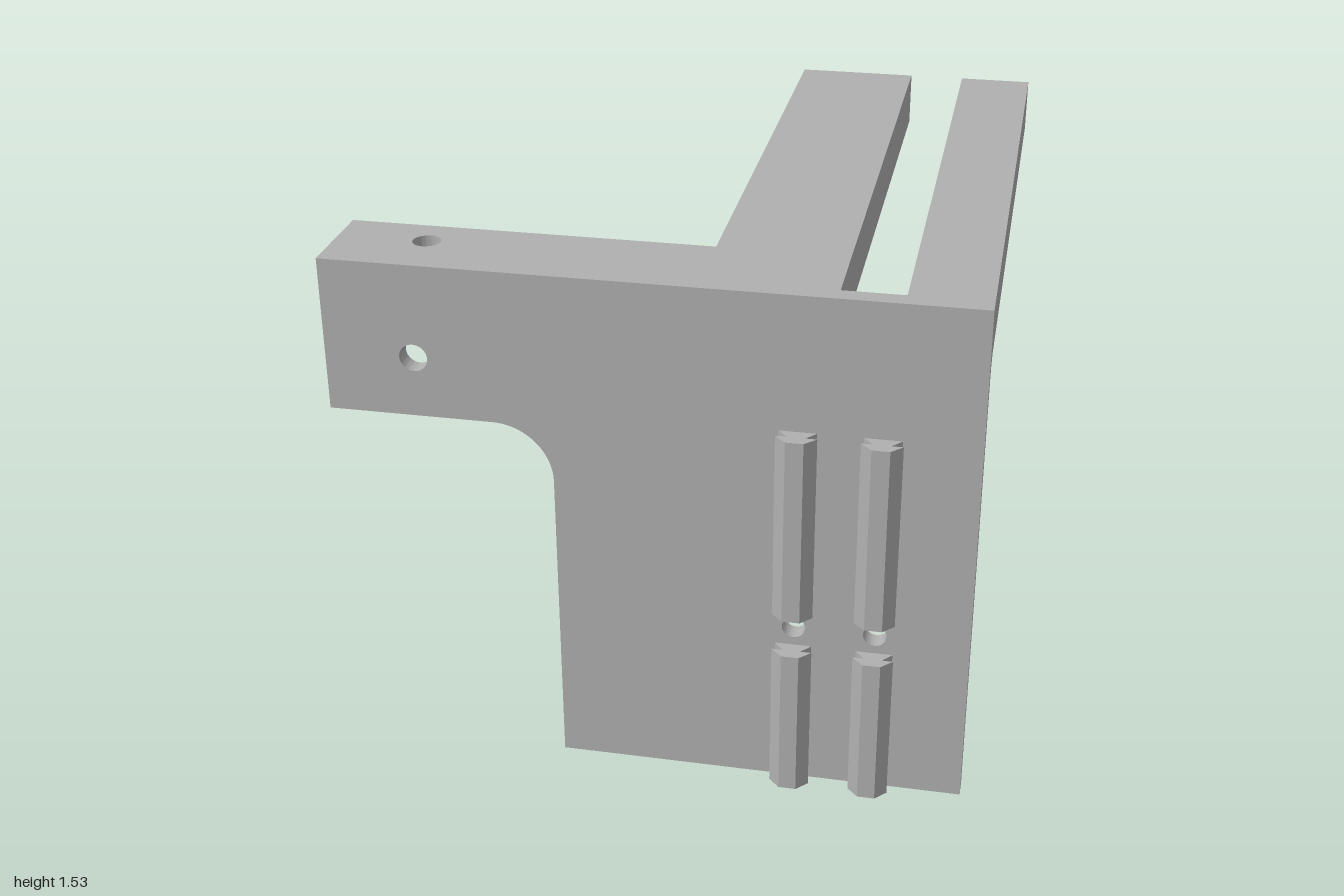
import * as THREE from 'three';
import { toCreasedNormals } from 'three/addons/utils/BufferGeometryUtils.js';

export function createModel() {
  const model = new THREE.Group();
  const grey = new THREE.MeshStandardMaterial({ color: 0xb0b0b0 });
  grey.name = 'grey';

  const add = (name, geometry) => {
    const mesh = new THREE.Mesh(geometry, grey);
    mesh.name = name;
    model.add(mesh);
  };
  const box = (name, x0, x1, y0, y1, z0, z1) => {
    const g = new THREE.BoxGeometry(x1 - x0, y1 - y0, z1 - z0);
    add(name, g.translate((x0 + x1) / 2, (y0 + y1) / 2, (z0 + z1) / 2));
  };
  const polygon = (pts) => new THREE.Shape(pts.map(([a, b]) => new THREE.Vector2(a, b)));
  const hole = (shape, x, y, r) => shape.holes.push(new THREE.Path().absarc(x, y, r, 0, Math.PI * 2, true));
  const extrude = (shape, depth) => toCreasedNormals(
    new THREE.ExtrudeGeometry(shape, { depth, bevelEnabled: false, curveSegments: 20 }), 0.6);
  // Shape drawn in x and z, standing between two heights
  const upright = (shape, y0, y1) => extrude(shape, y1 - y0).rotateX(Math.PI / 2).translate(0, y1, 0);
  // Shape drawn in z and y, running between two x positions
  const sideways = (shape, x0, x1) => extrude(shape, x1 - x0).rotateY(-Math.PI / 2).translate(x1, 0, 0);

  const TOP = 1.535, UNDER = 1.37, BACK = 0.88, FRONT = 0.935;

  // Front plate with rounded inside corner and screw holes
  const plate = new THREE.Shape();
  plate.moveTo(-0.27, 0);
  plate.lineTo(0.908, 0);
  plate.lineTo(0.908, TOP);
  plate.lineTo(-0.91, TOP);
  plate.lineTo(-0.91, 1.083);
  plate.lineTo(-0.44, 1.083);
  plate.absarc(-0.44, 0.913, 0.17, Math.PI / 2, 0, true);
  plate.lineTo(-0.27, 0);
  hole(plate, -0.655, 1.26, 0.04);
  hole(plate, 0.412, 0.515, 0.033);
  hole(plate, 0.642, 0.515, 0.033);
  add('frontPlate', extrude(plate, FRONT - BACK).translate(0, 0, BACK));

  // Top flange of the side arm, with a thicker root beside the bar
  const flange = polygon([[-0.91, 0.65], [0.135, 0.65], [0.135, BACK], [-0.91, BACK]]);
  hole(flange, -0.655, 0.76, 0.04);
  add('armFlange', upright(flange, TOP - 0.087, TOP));
  box('flangeRoot', -0.09, 0.135, UNDER, TOP - 0.087, 0.65, BACK);

  // Two long bars with a slot between; the wide one has a hanging lip
  box('wideBar', 0.135, 0.508, UNDER, TOP, -1, BACK);
  box('barLip', 0.135, 0.25, 1.2, UNDER, -1, BACK);
  box('narrowBar', 0.682, 0.908, UNDER, TOP, -1, BACK);

  // Fillets where the bars meet the plate
  const r = 0.06;
  const fillet = new THREE.Shape();
  fillet.moveTo(BACK, UNDER);
  fillet.lineTo(BACK - r, UNDER);
  fillet.absarc(BACK - r, UNDER - r, r, Math.PI / 2, 0, true);
  fillet.lineTo(BACK, UNDER);
  add('wideBarFillet', sideways(fillet, 0.25, 0.508));
  add('narrowBarFillet', sideways(fillet, 0.682, 0.908));

  // Rear posts, blended into the plate on one side and split at the screw holes
  for (const [name, x0, x1, rad] of [['outerPost', 0.695, 0.81, 0.06], ['innerPost', 0.135, 0.25, 0.16]]) {
    const s = new THREE.Shape();
    s.moveTo(x0, 0.71);
    s.lineTo(x1, 0.71);
    s.lineTo(x1, BACK - rad);
    s.absarc(x1 + rad, BACK - rad, rad, Math.PI, Math.PI / 2, true);
    s.lineTo(x0, BACK);
    s.lineTo(x0, 0.71);
    add(name + 'Lower', upright(s, 0, 0.405));
    add(name + 'Upper', upright(s, 0.615, UNDER));
  }

  // Notched mounting rails on the front
  const half = [[0.052, FRONT], [0.025, 0.967], [0.057, 0.967], [0.025, 1]];
  for (const cx of [0.412, 0.642]) {
    const s = polygon([
      ...half.map(([x, z]) => [cx + x, z]),
      ...half.slice().reverse().map(([x, z]) => [cx - x, z]),
    ]);
    add('railLower', upright(s, 0, 0.457));
    add('railUpper', upright(s, 0.573, 1.137));
  }

  return model;
}
